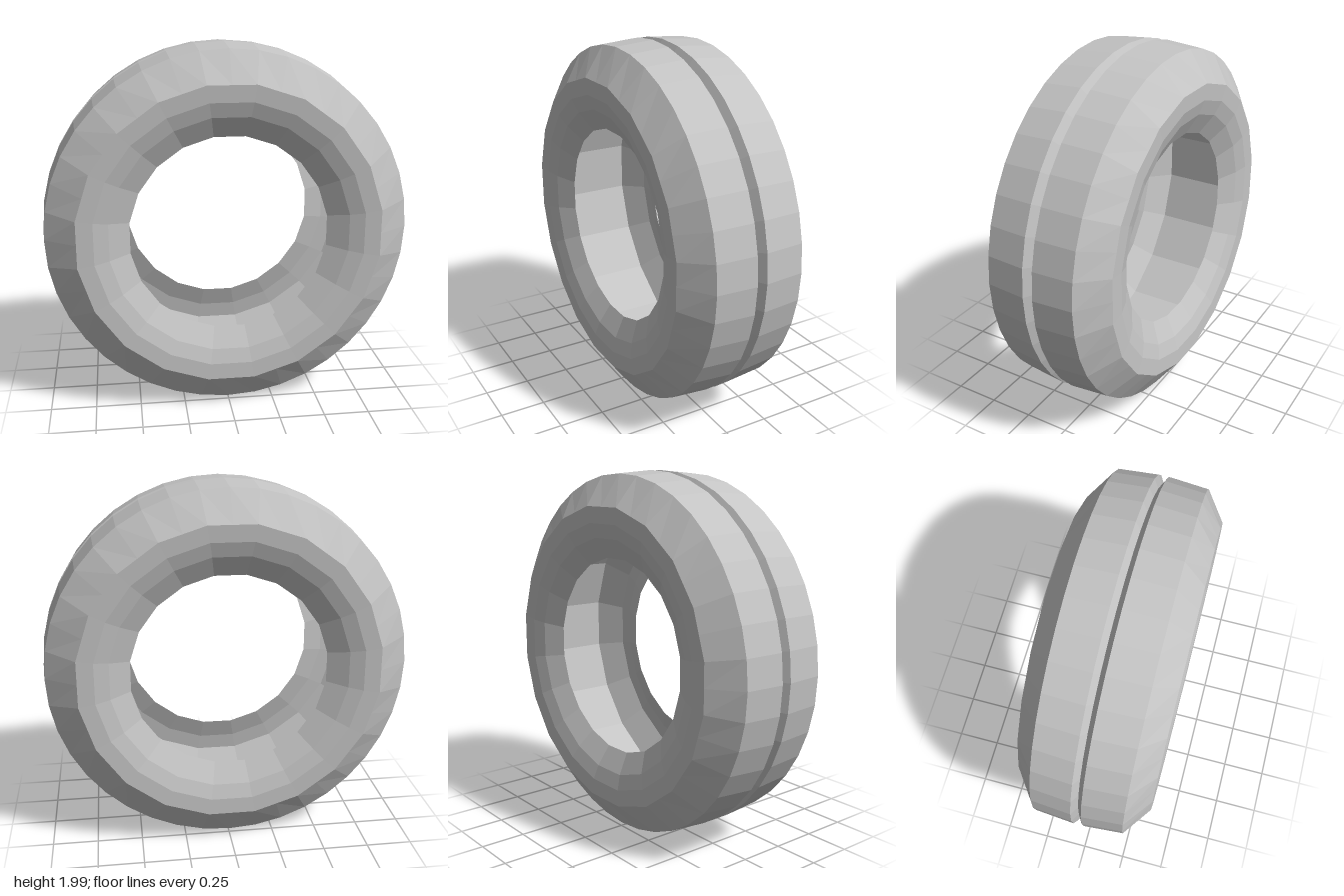
import * as THREE from 'three';

const SEGMENTS = 40;

// Revolve a [radius, z] profile about z; points inside r = 0.9 get half as many sides.
function ring(name, profile, material) {
  const points = profile.map(([r, z]) => new THREE.Vector2(r, z));
  const geometry = new THREE.LatheGeometry(points, SEGMENTS, Math.PI / 20);
  const p = geometry.attributes.position;
  const n = points.length;
  for (let i = 1; i < SEGMENTS; i += 2) {
    for (let j = 0; j < n; j++) {
      if (points[j].x > 0.9) continue;
      const a = (i - 1) * n + j, b = (i + 1) * n + j;
      p.setXYZ(i * n + j,
        (p.getX(a) + p.getX(b)) / 2,
        (p.getY(a) + p.getY(b)) / 2,
        (p.getZ(a) + p.getZ(b)) / 2);
    }
  }
  geometry.rotateX(Math.PI / 2);
  geometry.computeVertexNormals();
  const mesh = new THREE.Mesh(geometry, material);
  mesh.name = name;
  return mesh;
}

const mirrored = (profile) => profile.map(([r, z]) => [r, -z]).reverse();

export function createModel() {
  const rubber = new THREE.MeshStandardMaterial({ color: 0xc4c4c4, flatShading: true, side: THREE.DoubleSide });
  rubber.name = 'light grey rubber';

  const tyre = new THREE.Group();
  tyre.name = 'tyre';
  tyre.position.y = 1;

  // Tread with a V groove around the middle
  tyre.add(ring('tread', [
    [0.98, -0.245], [0.997, -0.028], [0.95, 0], [0.997, 0.028], [0.98, 0.245],
  ], rubber));

  // Rounded sidewalls curling in to the bead, one on each face
  const wall = [[0.98, 0.245], [0.82, 0.362], [0.73, 0.358], [0.65, 0.333], [0.538, 0.27]];
  tyre.add(ring('frontSidewall', wall, rubber));
  tyre.add(ring('backSidewall', mirrored(wall), rubber));

  // Hollow inside, open between the two beads
  const lining = [[0.538, 0.27], [0.65, 0.305], [0.74, 0.315], [0.895, 0.23]];
  tyre.add(ring('innerLining', [...lining, ...mirrored(lining)], rubber));

  return tyre;
}
